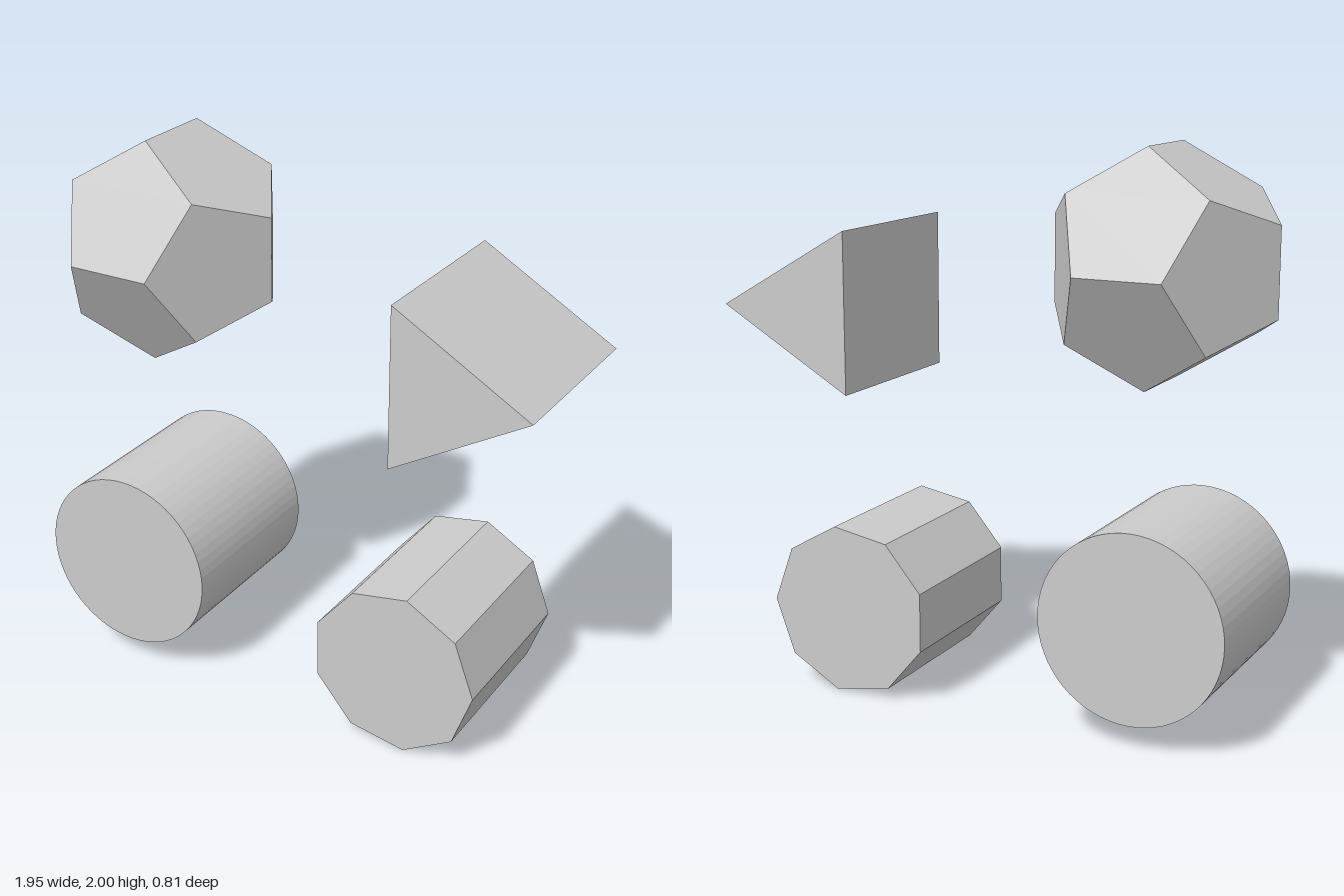
import * as THREE from 'three';

export function createModel() {
  const group = new THREE.Group();
  const material = new THREE.MeshStandardMaterial({ color: 0xcccccc, flatShading: true });

  function add(name, geometry, x, y) {
    const mesh = new THREE.Mesh(geometry, material);
    mesh.name = name;
    mesh.position.set(x, y, 0);
    group.add(mesh);
  }

  // Regular prism lying along z, with one corner pointing to +x
  function prism(radius, depth, sides) {
    return new THREE.CylinderGeometry(radius, radius, depth, sides, 1, false, Math.PI / 2)
      .rotateX(Math.PI / 2);
  }

  // Dodecahedron turned so its top edge runs along z
  add('dodecahedron', new THREE.DodecahedronGeometry(0.431).rotateY(Math.PI / 2), -0.574, 1.597);

  // Three prisms of different side counts
  add('triangularPrism', prism(0.333, 0.666, 3), 0.642, 1.4);
  add('cylinder', prism(0.336, 0.672, 64), -0.61, 0.424);
  add('nonagonalPrism', prism(0.3145, 0.626, 9), 0.495, 0.31);

  return group;
}
